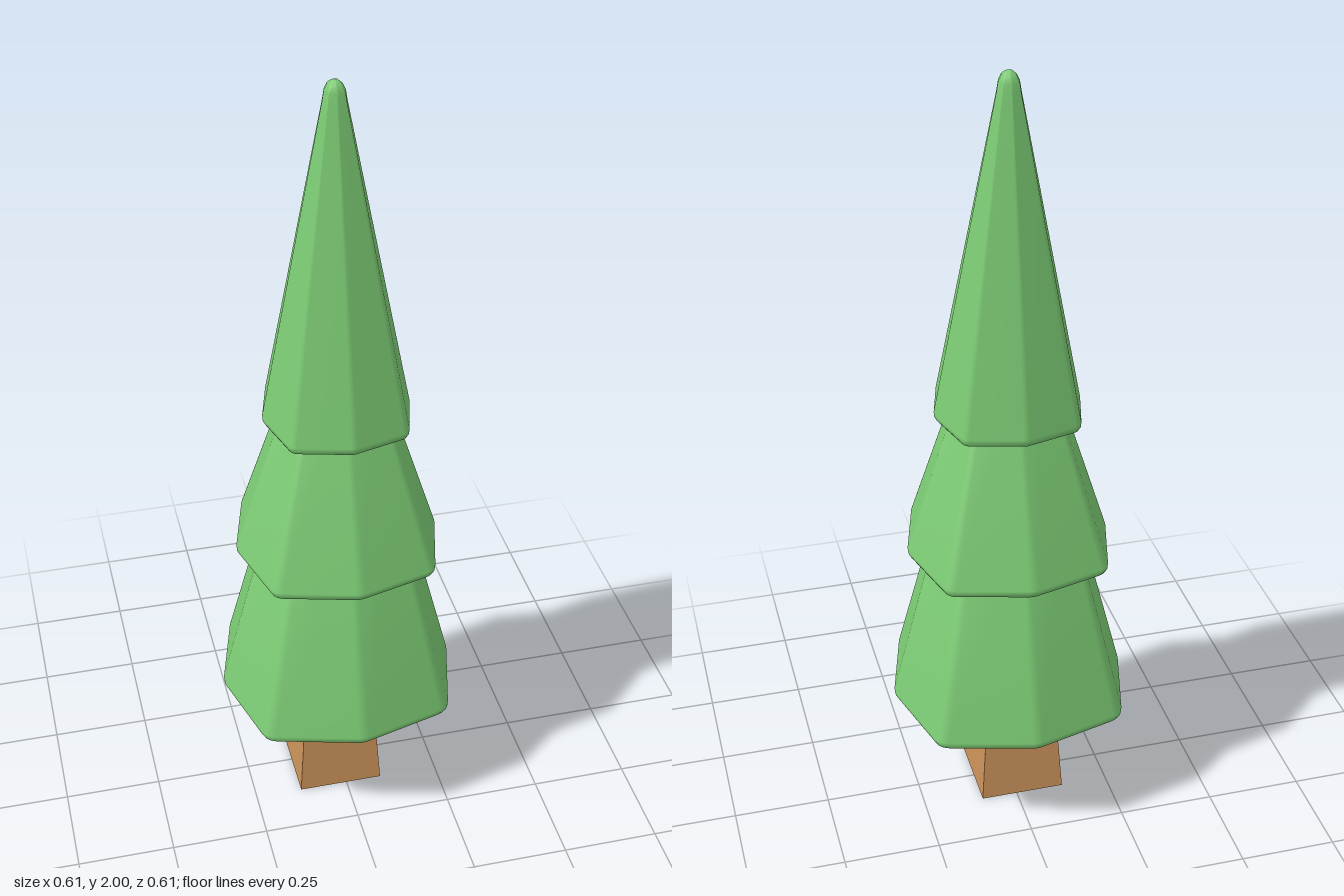
import * as THREE from 'three';

const green = new THREE.MeshStandardMaterial({ color: 0x7ccb74 });
const brown = new THREE.MeshStandardMaterial({ color: 0xcc935a, flatShading: true });

// Unit octagon whose diagonal corners stand out further, each corner softened
function softOctagon() {
  const corners = [];
  for (let i = 0; i < 8; i++) {
    const a = (i * Math.PI) / 4;
    const r = i % 2 ? 1.12 : 1.005;
    corners.push(new THREE.Vector2(Math.sin(a) * r, Math.cos(a) * r));
  }
  const points = [];
  corners.forEach((c, i) => {
    const t = i % 2 ? 0.1 : 0.06;
    const start = c.clone().lerp(corners[(i + 7) % 8], t);
    const end = c.clone().lerp(corners[(i + 1) % 8], t);
    const bend = new THREE.QuadraticBezierCurve(start, c, end);
    points.push(...bend.getPoints(4));
  });
  return points;
}

// Skin of octagonal rings; each row is [radius, height, z offset]
function skin(rows) {
  const ring = softOctagon();
  const n = ring.length;
  const positions = [];
  const index = [];
  for (const [r, y, z = 0] of rows) {
    for (const p of ring) positions.push(p.x * r, y, p.y * r + z);
  }
  for (let j = 0; j < rows.length - 1; j++) {
    for (let i = 0; i < n; i++) {
      const a = j * n + i;
      const b = j * n + ((i + 1) % n);
      index.push(a, b, b + n, a, b + n, a + n);
    }
  }
  const g = new THREE.BufferGeometry();
  g.setAttribute('position', new THREE.Float32BufferAttribute(positions, 3));
  g.setIndex(index);
  g.computeVertexNormals();
  return g;
}

// Hollow skirt of branches: inner wall, rounded rim, outer wall, end rows
function tier(name, radius, bottom, topRadius, top, endRows, lean = 0) {
  const rows = [
    [0.001, top - 0.05, lean],
    [Math.max(topRadius - 0.02, 0.004), top - 0.06, lean],
    [radius - 0.022, bottom + 0.012],
    [radius - 0.014, bottom],
    [radius - 0.006, bottom + 0.002],
    [radius - 0.001, bottom + 0.011],
    [radius, bottom + 0.022],
    [topRadius, top, lean],
    ...endRows,
  ];
  const mesh = new THREE.Mesh(skin(rows), green);
  mesh.name = name;
  return mesh;
}

export function createModel() {
  const tree = new THREE.Group();
  tree.name = 'tree';

  // Tapered square trunk, slightly off centre, reaching into the branches
  const trunkGeometry = new THREE.CylinderGeometry(0.07 * Math.SQRT2, 0.111 * Math.SQRT2, 0.6, 4);
  trunkGeometry.rotateY(Math.PI / 4);
  const trunk = new THREE.Mesh(trunkGeometry, brown);
  trunk.name = 'trunk';
  trunk.position.set(-0.016, 0.3, 0.01);
  tree.add(trunk);

  // Three stacked skirts, the last one closing in a rounded tip
  tree.add(tier('lowerBranches', 0.306, 0.31, 0.147, 0.95, [[0.001, 0.951]]));
  tree.add(tier('middleBranches', 0.259, 0.745, 0.09, 1.3, [[0.001, 1.301]]));
  const z = -0.014;
  tree.add(tier('upperBranches', 0.184, 1.128, 0.029, 1.95,
    [[0.025, 1.975, z], [0.018, 1.99, z], [0.009, 1.998, z], [0.0005, 2, z]], z));

  return tree;
}
